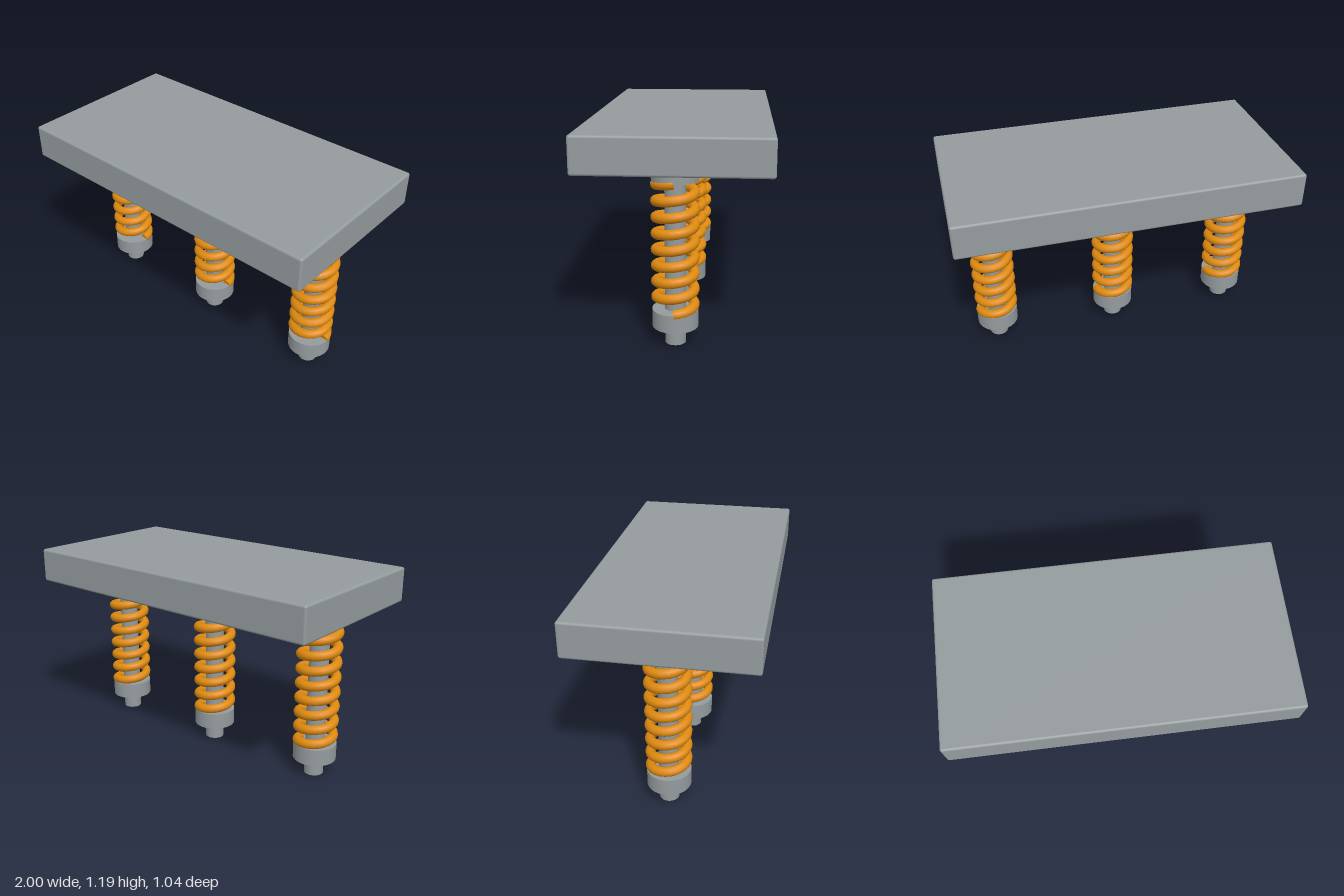
import * as THREE from 'three';
import { RoundedBoxGeometry } from 'three/addons/geometries/RoundedBoxGeometry.js';

const steel = new THREE.MeshStandardMaterial({ name: 'steel grey', color: 0x959c9e });
const orange = new THREE.MeshStandardMaterial({ name: 'spring orange', color: 0xdf8a10 });

const COIL_RADIUS = 0.105, WIRE_RADIUS = 0.028, TURNS = 8;
const COIL_BOTTOM = 0.2, COIL_TOP = 0.92;

// Rising helix that starts and ends on the +x side
class Helix extends THREE.Curve {
  getPoint(t, target = new THREE.Vector3()) {
    const a = t * TURNS * Math.PI * 2;
    return target.set(
      Math.cos(a) * COIL_RADIUS,
      COIL_BOTTOM + (COIL_TOP - COIL_BOTTOM) * t,
      -Math.sin(a) * COIL_RADIUS
    );
  }
}

function addMesh(parent, name, geometry, material) {
  const mesh = new THREE.Mesh(geometry, material);
  mesh.name = name;
  parent.add(mesh);
  return mesh;
}

// Upright cylinder between two heights
function addCylinder(parent, name, radius, y0, y1) {
  const geometry = new THREE.CylinderGeometry(radius, radius, y1 - y0, 40);
  addMesh(parent, name, geometry, steel).position.y = (y0 + y1) / 2;
}

function createSpringLeg() {
  const leg = new THREE.Group();
  addCylinder(leg, 'rod', 0.057, 0, 0.99);
  addCylinder(leg, 'lowerCollar', 0.127, 0.1, 0.2);
  addCylinder(leg, 'upperCollar', 0.127, 0.92, 0.99);

  // Coil with closed wire ends
  const helix = new Helix();
  addMesh(leg, 'coilSpring', new THREE.TubeGeometry(helix, TURNS * 24, WIRE_RADIUS, 12), orange);
  for (const [t, sign] of [[0, -1], [1, 1]]) {
    const cap = addMesh(leg, 'coilEnd', new THREE.CircleGeometry(WIRE_RADIUS, 12), orange);
    cap.position.copy(helix.getPoint(t));
    const outward = helix.getTangent(t).multiplyScalar(sign);
    cap.quaternion.setFromUnitVectors(new THREE.Vector3(0, 0, 1), outward);
  }
  return leg;
}

export function createModel() {
  const model = new THREE.Group();
  model.name = 'springPlatform';

  // Slab with softened edges
  const slab = addMesh(model, 'slab', new RoundedBoxGeometry(2, 0.207, 1.036, 3, 0.014), steel);
  slab.position.y = 1.0865;

  // Row of three sprung legs
  for (const [x, name] of [[-0.77, 'rightLeg'], [0, 'middleLeg'], [0.77, 'leftLeg']]) {
    const leg = createSpringLeg();
    leg.name = name;
    leg.position.x = x;
    model.add(leg);
  }
  return model;
}
